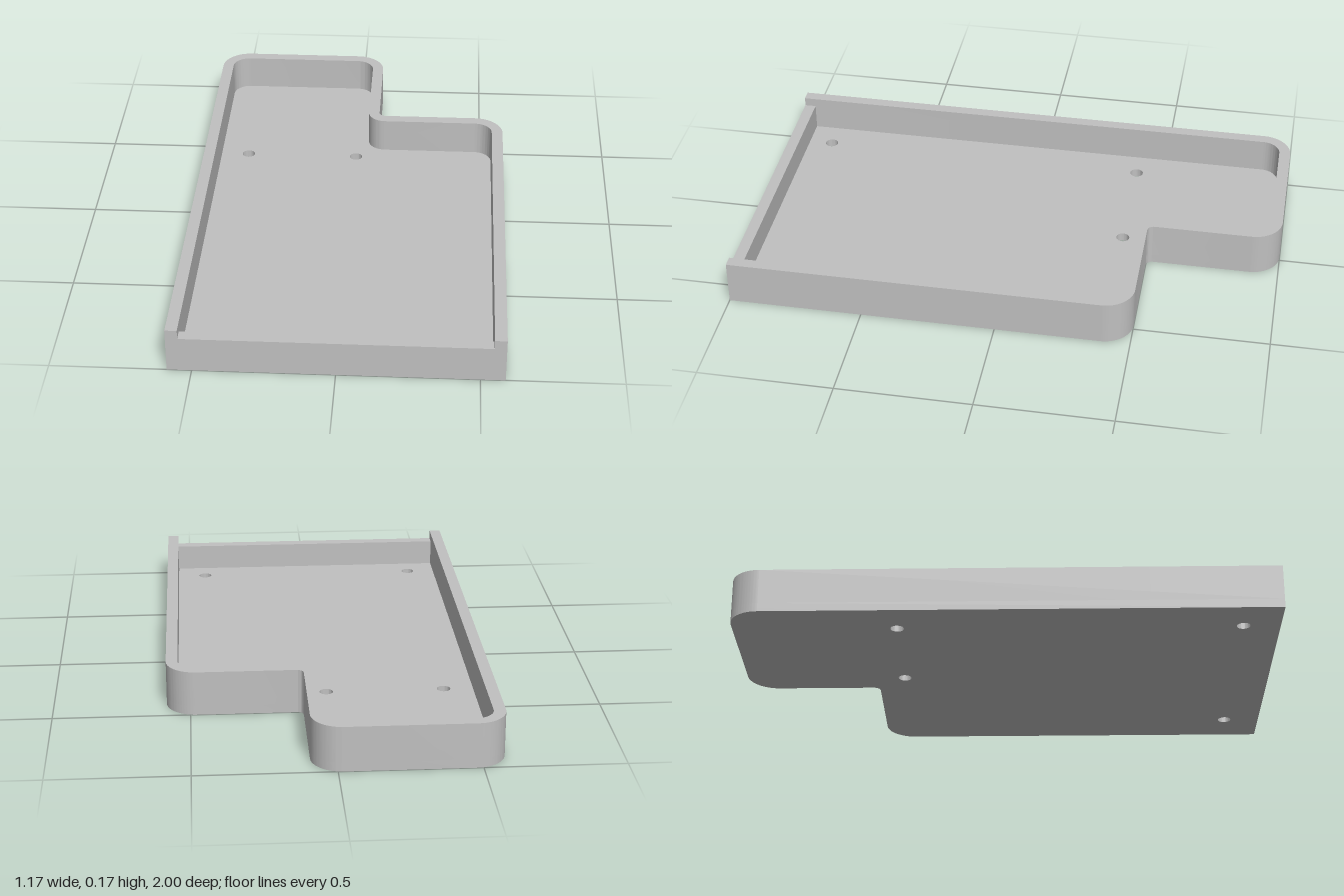
import * as THREE from 'three';
import { toCreasedNormals } from 'three/addons/utils/BufferGeometryUtils.js';

const W = 0.587, T = 0.043;                 // half width, wall thickness
const FLOOR = 0.033, LIP = 0.133, TOP = 0.167;
const FRONT = -1, BACK = 1;                 // plan coordinates: y = -z
const STEP_X = 0.09, STEP_Y = 0.5;          // inner corner of the L

// Continue a path along the stepped outline, inset by d, from front left to front right
function traceOutline(path, d) {
  const rOut = 0.11 - d, rIn = 0.025 + d;
  const xl = -W + d, xr = W - d, xs = STEP_X - d, yb = BACK - d, ys = STEP_Y - d;
  path.lineTo(xr, ys - rOut);
  path.absarc(xr - rOut, ys - rOut, rOut, 0, Math.PI / 2, false);
  path.lineTo(xs + rIn, ys);
  path.absarc(xs + rIn, ys + rIn, rIn, -Math.PI / 2, -Math.PI, true);
  path.lineTo(xs, yb - rOut);
  path.absarc(xs - rOut, yb - rOut, rOut, 0, Math.PI / 2, false);
  path.lineTo(xl + rOut, yb);
  path.absarc(xl + rOut, yb - rOut, rOut, Math.PI / 2, Math.PI, false);
  path.lineTo(xl, FRONT);
}

// Extrude a plan shape upward between two heights
function slab(shape, y0, y1, material, name) {
  const geo = new THREE.ExtrudeGeometry(shape, { depth: y1 - y0, bevelEnabled: false, curveSegments: 16 });
  geo.rotateX(-Math.PI / 2).translate(0, y0, 0);
  const mesh = new THREE.Mesh(toCreasedNormals(geo, 0.6), material);
  mesh.name = name;
  return mesh;
}

export function createModel() {
  const group = new THREE.Group();
  group.name = 'steppedTray';
  const grey = new THREE.MeshStandardMaterial({ color: 0xc0c0c0 });
  grey.name = 'grey';

  // Floor plate with four screw holes
  const floor = new THREE.Shape();
  floor.moveTo(-W, FRONT);
  floor.lineTo(W, FRONT);
  traceOutline(floor, 0);
  for (const [x, z] of [[-0.435, -0.397], [0, -0.397], [-0.435, 0.865], [0.432, 0.865]]) {
    const hole = new THREE.Path();
    hole.absarc(x, -z, 0.025, 0, Math.PI * 2, true);
    floor.holes.push(hole);
  }
  group.add(slab(floor, 0, FLOOR, grey, 'floor'));

  // Rim wall, open at the front: outer outline out, inner outline back
  const inner = new THREE.Path();
  inner.moveTo(W - T, FRONT);
  traceOutline(inner, T);
  const wall = new THREE.Shape();
  wall.moveTo(W, FRONT);
  traceOutline(wall, 0);
  for (const p of inner.getPoints(16).reverse()) wall.lineTo(p.x, p.y);
  group.add(slab(wall, FLOOR, TOP, grey, 'rimWall'));

  // Lower wall across the front
  const lip = new THREE.Mesh(new THREE.BoxGeometry(2 * (W - T), LIP - FLOOR, T), grey);
  lip.position.set(0, (LIP + FLOOR) / 2, 1 - T / 2);
  lip.name = 'frontLip';
  group.add(lip);

  return group;
}
